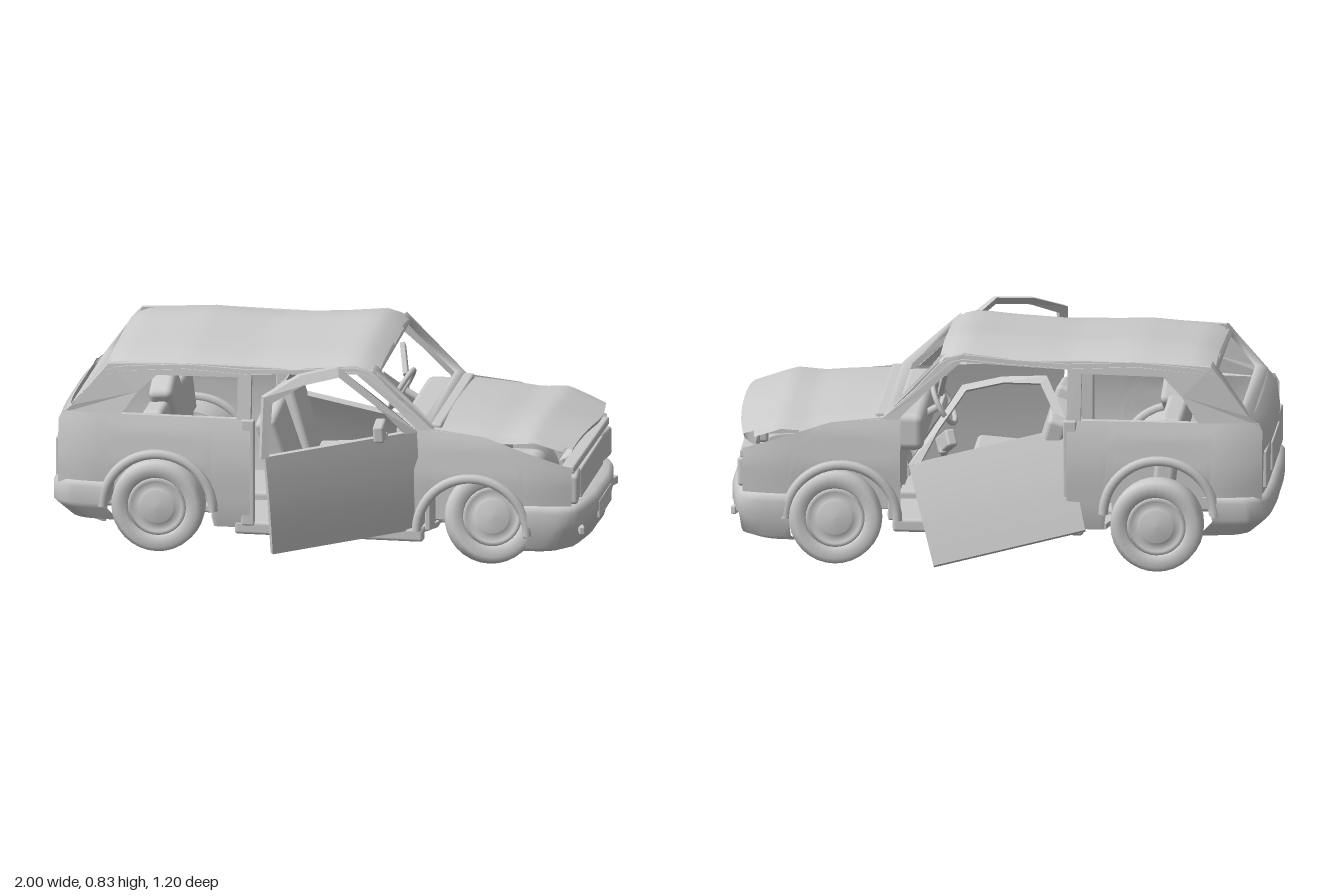
import * as THREE from 'three';
import { RoundedBoxGeometry } from 'three/addons/geometries/RoundedBoxGeometry.js';

const C = -0.095; // centre line of the body in z
const V = (x, y, z) => new THREE.Vector3(x, y, z);
const mat = new THREE.MeshStandardMaterial({ color: 0xcccccc, side: THREE.DoubleSide });

// piecewise linear lookup in [[key, value], ...]
function lookup(table, k) {
  if (k <= table[0][0]) return table[0][1];
  for (let i = 1; i < table.length; i++) {
    const [a, va] = table[i - 1], [b, vb] = table[i];
    if (k <= b) return va + (vb - va) * (k - a) / (b - a);
  }
  return table[table.length - 1][1];
}
// half width of the body at a given length and height
const girth = [[0.1, 0.37], [0.2, 0.395], [0.38, 0.41], [0.5, 0.4], [0.56, 0.385], [0.8, 0.365]];
const halfWidth = (x, y) => lookup(girth, y)
  - (x > 0.75 ? 0.6 * (x - 0.75) ** 2 : 0) - (x < -0.8 ? (-0.8 - x) ** 2 : 0);
// the roof has sunk towards the +z side
const sag = (y, z) => y - lookup([[-0.42, 0.01], [-0.25, 0], [0.28, 0.035]], z) * Math.max(0, (y - 0.56) / 0.24);

// surface through rows of points
function loft(rows, closed = false) {
  const n = rows[0].length, idx = [];
  for (let i = 0; i < rows.length - 1; i++)
    for (let j = 0; j < (closed ? n : n - 1); j++) {
      const a = i * n + j, b = i * n + (j + 1) % n;
      idx.push(a, b, a + n, b, b + n, a + n);
    }
  const g = new THREE.BufferGeometry().setFromPoints(rows.flat());
  g.setIndex(idx);
  g.computeVertexNormals();
  return g;
}
const grid = (nu, nv, f) => loft(Array.from({ length: nu + 1 }, (_, i) =>
  Array.from({ length: nv + 1 }, (_, j) => f(i / nu, j / nv))));
function slab(depth, pts, ...holes) {
  const s = new THREE.Shape(pts.map(p => new THREE.Vector2(...p)));
  holes.forEach(h => s.holes.push(new THREE.Path(h.map(p => new THREE.Vector2(...p)))));
  return new THREE.ExtrudeGeometry(s, { depth, bevelEnabled: false });
}
// move every vertex by a rule
function bend(geo, rule) {
  const p = geo.attributes.position;
  for (let i = 0; i < p.count; i++) p.setXYZ(i, ...rule(p.getX(i), p.getY(i), p.getZ(i)));
  geo.computeVertexNormals();
  return geo;
}
const tube = (pts, r) => new THREE.TubeGeometry(new THREE.CatmullRomCurve3(pts.map(p => V(...p))), 24, r, 8);
const lathe = pts => new THREE.LatheGeometry(pts.map(p => new THREE.Vector2(...p)), 32).rotateX(Math.PI / 2);

export function createModel() {
  const car = new THREE.Group();
  const add = (name, geo, pos = [0, 0, 0], rot = [0, 0, 0], parent = car) => {
    const m = new THREE.Mesh(geo, mat);
    m.name = name;
    m.position.set(...pos);
    m.rotation.set(...rot);
    parent.add(m);
    return m;
  };
  const box = (name, size, pos, rot, parent) =>
    add(name, new RoundedBoxGeometry(...size, 2, Math.min(...size) * 0.25), pos, rot, parent);

  // lower sides, arches and greenhouse, mirrored
  const arches = [[-0.59, 0.215, 0.195], [0.575, 0.175, 0.195]];
  const bottom = x => {
    let y = lookup([[-0.96, 0.21], [-0.8, 0.15], [0.8, 0.15], [0.93, 0.22]], x);
    for (const [cx, cy, r] of arches)
      if (Math.abs(x - cx) < r) y = Math.max(y, cy + Math.sqrt(r * r - (x - cx) ** 2));
    return y;
  };
  const shoulder = x => lookup([[-0.97, 0.52], [-0.95, 0.56], [0.4, 0.56], [0.62, 0.535], [0.94, 0.43]], x);
  for (const s of [1, -1]) {
    const skin = (x0, x1) => grid(48, 8, (u, v) => {
      const x = x0 + (x1 - x0) * u, y = bottom(x) + (shoulder(x) - bottom(x)) * v;
      return V(x, y, C + s * halfWidth(x, y));
    });
    add('rearQuarterPanel', skin(-0.965, -0.25));
    add('frontFender', skin(0.36, 0.94));
    box('sill', [0.7, 0.05, 0.05], [0.04, 0.15, C + s * 0.365]);
    for (const [cx, cy, r] of arches) {
      add('archLip', new THREE.TorusGeometry(r + 0.01, 0.018, 8, 24, Math.PI), [cx, cy, C + s * 0.41]);
      add('wheelWell', grid(16, 1, (u, v) => V(cx + Math.cos(u * Math.PI) * r,
        cy + Math.sin(u * Math.PI) * r, C + s * (0.24 + 0.165 * v))));
      add('wellWall', new THREE.CircleGeometry(r, 16, 0, Math.PI), [cx, cy, C + s * 0.24]);
      add('suspensionStrut', new THREE.CylinderGeometry(0.025, 0.025, 0.2, 10), [cx + 0.02, 0.26, C + s * 0.22], [s * -0.12, 0, 0]);
    }
    add('greenhouseFrame', bend(slab(0.025,
      [[-0.95, 0.55], [-0.915, 0.585], [-0.78, 0.775], [-0.5, 0.79], [-0.1, 0.785], [0.13, 0.81], [0.2, 0.79],
        [0.31, 0.665], [0.43, 0.55], [0.37, 0.55], [0.26, 0.665], [0.14, 0.775], [-0.25, 0.755], [-0.25, 0.55]],
      [[-0.73, 0.56], [-0.67, 0.66], [-0.6, 0.735], [-0.3, 0.74], [-0.3, 0.56]]), (x, y, z) => {
      const w = C + s * (halfWidth(x, y) - z);
      return [x, sag(y, w), w];
    }));
    box('doorPillar', [0.05, 0.4, 0.03], [-0.26, 0.36, C + s * 0.38]);
  }

  // buckled roof
  const ridge = [[-0.79, 0.76], [-0.74, 0.782], [-0.5, 0.803], [-0.25, 0.79], [0.0, 0.806], [0.13, 0.82], [0.19, 0.805], [0.22, 0.78]];
  const roofAt = lift => grid(24, 16, (u, v) => {
    const x = -0.79 + 1.01 * u, t = v * 2 - 1, z = C + t * 0.37;
    return V(x, sag(lookup(ridge, x), z) + 0.012 - 0.025 * t ** 6 - lift, z);
  });
  add('roof', roofAt(0));
  add('headliner', roofAt(0.018));

  // windscreen and rear window surrounds
  const corners = (x0, y0, w0, x1, y1, w1) =>
    [V(x0, y0, C - w0), V(x0, y0, C + w0), V(x1, sag(y1, C + w1), C + w1), V(x1, sag(y1, C - w1), C - w1)];
  add('windscreenFrame', loft([corners(0.43, 0.55, 0.385, 0.2, 0.8, 0.365),
    corners(0.41, 0.58, 0.355, 0.225, 0.78, 0.33), corners(0.38, 0.57, 0.355, 0.2, 0.77, 0.33)], true));
  add('rearWindowFrame', loft([corners(-0.925, 0.575, 0.37, -0.775, 0.78, 0.365),
    corners(-0.905, 0.6, 0.325, -0.8, 0.755, 0.31), corners(-0.88, 0.595, 0.325, -0.78, 0.75, 0.31)], true));

  // tail panel
  const tail = [[-0.945, 0.2], [-0.96, 0.3], [-0.965, 0.46], [-0.955, 0.54], [-0.92, 0.58]];
  add('tailgate', loft(tail.map(([x, y]) => Array.from({ length: 13 }, (_, j) => {
    const t = j / 6 - 1;
    return V(x - 0.015 * (1 - t ** 4), y, C + t * halfWidth(x, y));
  }))));
  for (const s of [1, -1]) box('tailLamp', [0.02, 0.14, 0.13], [-0.97, 0.38, C + s * 0.28]);
  box('tailPlateRecess', [0.016, 0.11, 0.3], [-0.978, 0.38, C]);

  // crumpled bonnet with folded front lip
  const bonnetLine = [[0.42, 0.56], [0.6, 0.548], [0.7, 0.538], [0.8, 0.545], [0.97, 0.497]];
  const bonnet = (x, t) => V(x - 0.03 * t * t * Math.max(0, (x - 0.8) / 0.17),
    lookup(bonnetLine, x) + 0.01 * (1 - t * t) - 0.01 * t ** 8
    + (x - 0.42) * 0.03 * Math.sin(t * 2.6), C + t * (halfWidth(x, 0.5) - 0.01));
  add('bonnet', grid(22, 18, (u, v) => bonnet(0.42 + 0.55 * u, v * 2 - 1)));
  add('bonnetLip', grid(3, 18, (u, v) => bonnet(0.97, v * 2 - 1).add(V(-0.05 * u * u, -0.045 * u, 0))));
  add('bonnetUnderside', grid(12, 12, (u, v) => bonnet(0.44 + 0.48 * u, (v * 2 - 1) * 0.96).add(V(0, -0.03, 0))));
  box('cowl', [0.07, 0.04, 0.72], [0.42, 0.55, C]);

  // nose
  add('nosePanel', grid(4, 12, (u, v) => {
    const t = v * 2 - 1;
    return V(0.95 - 0.025 * t ** 4 - 0.015 * u, 0.2 + 0.22 * u, C + t * 0.38);
  }));
  box('noseBar', [0.05, 0.03, 0.76], [0.925, 0.415, C], [-0.02, 0, 0]);
  box('grille', [0.025, 0.11, 0.46], [0.94, 0.335, C + 0.005]);
  for (const s of [1, -1]) {
    box('headlamp', [0.05, 0.11, 0.135], [0.93, 0.34 + s * 0.004, C + s * 0.305], [0, s * 0.1, 0]);
    box('bumperLamp', [0.02, 0.03, 0.08], [0.965, 0.19, C + s * 0.33], [0, s * 0.3, 0]);
  }
  // bumpers swept around the ends
  const bumper = (name, plan, section) => {
    const mirrored = plan.slice(0, -1).reverse().map(([x, w]) => [x, -w]);
    const pts = new THREE.CatmullRomCurve3([...plan, ...mirrored].map(([x, w]) => V(x, 0, w)),
      false, 'catmullrom', 0.3).getPoints(28);
    add(name, loft(section.map(([k, y]) => pts.map(p => V(p.x * k, y + p.z * 0.025, C + p.z * k)))));
  };
  bumper('frontBumper', [[0.78, 0.425], [0.9, 0.415], [0.965, 0.37], [0.995, 0.15], [0.995, 0]],
    [[0.93, 0.275], [0.985, 0.275], [1, 0.25], [1, 0.2], [0.985, 0.185], [0.975, 0.12], [0.92, 0.1]]);
  bumper('rearBumper', [[-0.79, 0.425], [-0.92, 0.41], [-0.985, 0.355], [-1, 0.15], [-1, 0]],
    [[0.94, 0.295], [0.98, 0.295], [1, 0.275], [1, 0.215], [0.98, 0.195], [0.93, 0.15]]);
  box('frontPlate', [0.01, 0.065, 0.25], [0.994, 0.205, C - 0.01]);

  // floor, firewall and running gear
  const pan = (name, y, edge) => add(name, slab(0.02, [...edge, ...edge.map(([x, w]) => [x, -w]).reverse()]),
    [0, y, C], [Math.PI / 2, 0, 0]);
  pan('floorPan', 0.165, [[-0.42, 0.24], [-0.39, 0.36], [0.36, 0.36], [0.42, 0.24]]);
  pan('bootFloor', 0.22, [[-0.93, 0.34], [-0.79, 0.36], [-0.79, 0.24], [-0.4, 0.24]]);
  box('bootStep', [0.02, 0.08, 0.48], [-0.41, 0.185, C]);
  box('firewall', [0.02, 0.38, 0.7], [0.4, 0.35, C]);
  box('tunnel', [0.8, 0.06, 0.1], [0, 0.165, C]);
  box('engineBlock', [0.26, 0.2, 0.32], [0.64, 0.26, C]);
  box('frontCrossMember', [0.06, 0.04, 0.5], [0.52, 0.15, C]);
  box('fuelTank', [0.14, 0.06, 0.36], [-0.82, 0.18, C]);
  for (const s of [1, -1]) {
    box('frontRail', [0.52, 0.05, 0.045], [0.66, 0.19, C + s * 0.2]);
    box('floorRib', [0.72, 0.025, 0.04], [0, 0.145, C + s * 0.22]);
    box('trailingArm', [0.24, 0.03, 0.04], [-0.49, 0.175, C + s * 0.2], [0, 0, -0.1]);
  }
  add('exhaust', tube([[0.6, 0.14, -0.02], [0.3, 0.135, 0], [-0.1, 0.13, 0], [-0.4, 0.14, -0.2], [-0.7, 0.17, -0.2], [-0.92, 0.17, -0.2]], 0.016));
  add('silencer', new THREE.CapsuleGeometry(0.032, 0.16, 4, 12), [-0.05, 0.13, 0], [0, 0, Math.PI / 2]);
  add('rearAxle', tube([[-0.585, 0.18, -0.46], [-0.585, 0.19, C], [-0.59, 0.22, 0.28]], 0.022));
  add('frontAxle', tube([[0.6, 0.17, -0.44], [0.6, 0.18, C], [0.64, 0.21, 0.27]], 0.02));

  // wheels, the front pair knocked out of line
  const tyre = lathe([[0.105, -0.055], [0.15, -0.06], [0.168, -0.045], [0.172, 0], [0.168, 0.045], [0.15, 0.06], [0.115, 0.055], [0.108, 0.04]]);
  const rim = lathe([[0, -0.03], [0.108, -0.03], [0.108, 0.04], [0.095, 0.045], [0.09, 0.035], [0.065, 0.038], [0.06, 0.048], [0, 0.052]]);
  const group = (name, pos, rot, order = 'XYZ') => {
    const g = new THREE.Group();
    g.name = name;
    g.position.set(...pos);
    g.rotation.set(...rot, order);
    car.add(g);
    return g;
  };
  for (const [name, pos, rot, flip] of [
    ['rearNearWheel', [-0.59, 0.228, 0.295], [0, 0, 0], 0], ['rearFarWheel', [-0.58, 0.173, -0.47], [0.02, 0, 0], Math.PI],
    ['frontNearWheel', [0.64, 0.23, 0.275], [-0.28, 0.26, 0], 0], ['frontFarWheel', [0.6, 0.178, -0.475], [0.12, 0.06, 0], Math.PI]]) {
    const w = group(name, pos, rot);
    add('tyre', tyre, [0, 0, 0], [0, flip, 0], w);
    add('rim', rim, [0, 0, 0], [0, flip, 0], w);
  }

  // doors: one swung open, one torn loose and leaning inwards
  const bulge = [[0, 0], [0.1, 0.015], [0.2, 0.027], [0.3, 0.033], [0.38, 0.035], [0.51, 0.015], [0.6, -0.005], [0.65, -0.05]];
  for (const [name, pos, rot, order, side] of [['openDoor', [0.36, 0.17, 0.245], [0.02, 0.51, 0.08], 'YXZ', 1],
    ['looseDoor', [0.23, 0.03, -0.595], [0.48, 0, -0.26], 'XYZ', -1]]) {
    const d = group(name, pos, rot, order);
    const curve = (x, y, z) => [x, y, z + side * lookup(bulge, y)];
    add('doorPanel', bend(new THREE.BoxGeometry(1, 0.385, 0.025, 6, 8, 1), (x, y, z) =>
      curve(-0.285 + x * 0.57 + (x - 0.2) * 0.05 * (y + 0.19), y + 0.1925, z + 0.0125)), [0, 0, 0], [0, 0, 0], d);
    add('doorWindowFrame', bend(slab(0.025,
      [[0.01, 0.38], [-0.11, 0.51], [-0.25, 0.65], [-0.4, 0.645], [-0.56, 0.6], [-0.6, 0.38], [-0.57, 0.38],
        [-0.53, 0.575], [-0.4, 0.615], [-0.26, 0.62], [-0.13, 0.49], [-0.04, 0.38]]), curve), [0, 0, 0], [0, 0, 0], d);
    box('mirrorArm', [0.025, 0.025, 0.07], [-0.13, 0.4, 0.012 + side * 0.05], [0, 0, 0], d);
    box('mirror', [0.04, 0.065, 0.11], [-0.15, 0.425, 0.012 + side * 0.09], [0, -0.45 * side, 0], d);
  }

  // cabin
  for (const s of [1, -1]) {
    box('seatCushion', [0.28, 0.09, 0.25], [0.0, 0.27, C + s * 0.18], [0, 0, 0.08]);
    box('seatBack', [0.08, 0.3, 0.25], [-0.17, 0.41, C + s * 0.18], [s * 0.12, 0, 0.3]);
  }
  box('rearCushion', [0.24, 0.1, 0.48], [-0.47, 0.3, C]);
  box('rearBackrest', [0.08, 0.3, 0.66], [-0.61, 0.41, C], [0, 0, 0.12]);
  box('rearHeadrest', [0.09, 0.16, 0.16], [-0.61, 0.565, 0.01], [0.5, 0, 0.12]);
  box('dashboard', [0.12, 0.14, 0.7], [0.34, 0.49, C]);
  add('steeringWheel', new THREE.TorusGeometry(0.08, 0.01, 8, 24), [0.22, 0.555, -0.25], [0, Math.PI / 2 - 0.1, 0]).rotateX(0.5);
  box('steeringSpoke', [0.02, 0.03, 0.15], [0.225, 0.555, -0.25], [0, 0, -0.4]);
  add('steeringColumn', tube([[0.22, 0.555, -0.25], [0.28, 0.52, -0.25], [0.36, 0.47, -0.25]], 0.014));
  box('rearViewMirror', [0.02, 0.04, 0.13], [0.22, 0.65, -0.3], [0.9, 0.2, 0]);
  return car;
}
